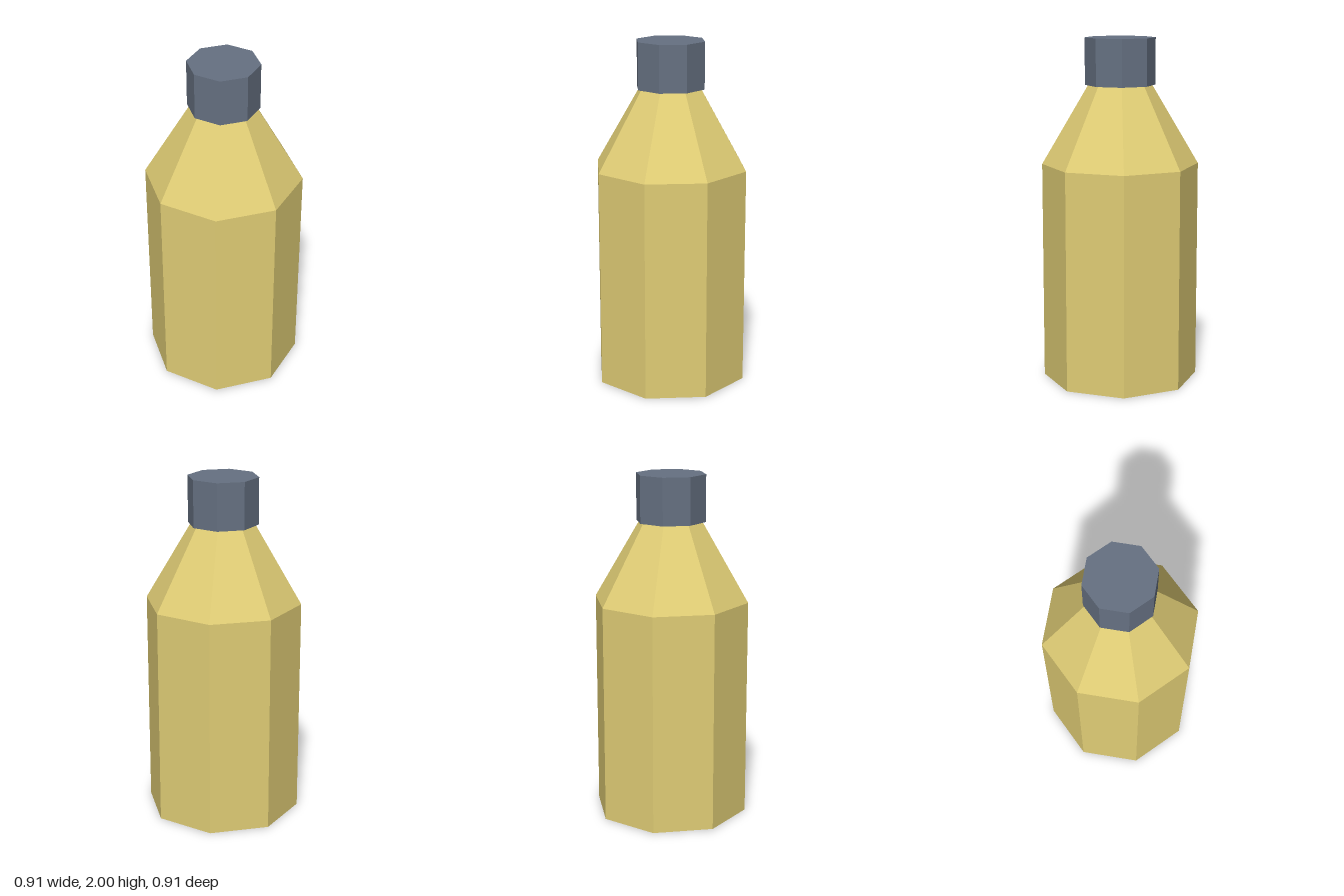
import * as THREE from 'three';

const SIDES = 8;

export function createModel() {
  const group = new THREE.Group();
  group.name = 'bottle';

  const makeMaterial = (name, color) => {
    const m = new THREE.MeshStandardMaterial({ color, flatShading: true });
    m.name = name;
    return m;
  };
  const yellow = makeMaterial('mustardYellow', 0xe0cd75);
  const slate = makeMaterial('slateGrey', 0x667182);

  // Eight-sided section standing between two heights
  const addSection = (name, rBottom, rTop, y0, y1, material, open = false) => {
    const geometry = new THREE.CylinderGeometry(rTop, rBottom, y1 - y0, SIDES, 1, open);
    geometry.translate(0, (y0 + y1) / 2, 0);
    const mesh = new THREE.Mesh(geometry, material);
    mesh.name = name;
    group.add(mesh);
  };

  // Closed bottom, sloping shoulder and screw cap
  const bodyProfile = [[0, 0], [0.453, 0], [0.453, 1.273], [0.184, 1.73]];
  const body = new THREE.Mesh(
    new THREE.LatheGeometry(bodyProfile.map(([r, y]) => new THREE.Vector2(r, y)), SIDES),
    yellow
  );
  body.name = 'bodyAndShoulder';
  group.add(body);
  addSection('cap', 0.203, 0.203, 1.73, 2, slate);

  return group;
}
